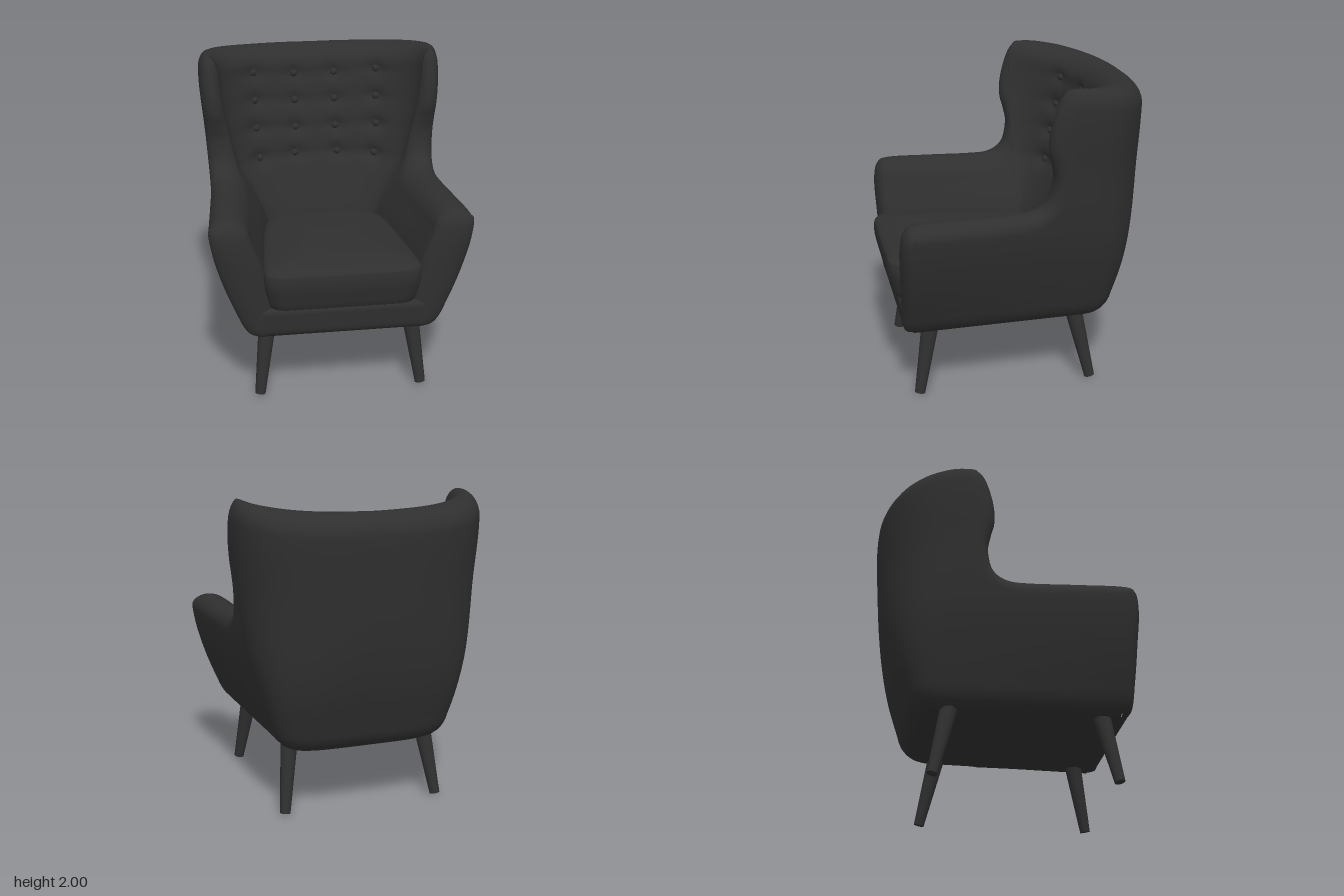
import * as THREE from 'three';

const material = new THREE.MeshStandardMaterial({ color: 0x2f2f2f, roughness: 0.8 });
const { lerp, clamp, smoothstep } = THREE.MathUtils;

// Smooth lookup through rows of [key, value, value...]
function table(rows) {
  const keys = rows.map((r) => r[0]);
  const f = new THREE.CubicInterpolant(keys, rows.flatMap((r) => r.slice(1)), rows[0].length - 1);
  return (k) => Array.from(f.evaluate(clamp(k, keys[0], keys[keys.length - 1] - 1e-6)));
}

// Height -> half width at the front, half width at the back, rear z
const outerAt = table([
  [0.43, 0.53, 0.485, -0.54], [0.45, 0.568, 0.52, -0.575], [0.5, 0.612, 0.562, -0.62],
  [0.6, 0.66, 0.60, -0.655], [0.8, 0.74, 0.66, -0.72], [1.0, 0.797, 0.71, -0.765],
  [1.2, 0.825, 0.74, -0.795], [1.5, 0.80, 0.768, -0.82], [1.8, 0.79, 0.795, -0.835],
  [2.0, 0.79, 0.795, -0.835],
]);
const innerAt = table([
  [0.6, 0.44, 0.33, -0.20], [0.9, 0.50, 0.39, -0.30], [1.1, 0.57, 0.48, -0.375],
  [1.23, 0.60, 0.55, -0.42], [1.41, 0.62, 0.60, -0.46], [1.77, 0.64, 0.665, -0.54],
  [2.0, 0.65, 0.685, -0.56],
]);

// Rim from the arm's front foot, over arm and wing, to the middle of the back:
// [step, position along the wall, height, edge rounding, position of the foot below]
const rimAt = table([
  [0.70, 0.43, 0.03, 0.69], [0.755, 0.465, 0.04, 0.67], [0.77, 0.62, 0.05, 0.64],
  [0.78, 0.85, 0.06, 0.60], [0.785, 1.05, 0.06, 0.54], [0.76, 1.17, 0.06, 0.48],
  [0.68, 1.215, 0.09, 0.40], [0.4, 1.22, 0.10, 0.25], [0.1, 1.22, 0.10, 0.08],
  [-0.04, 1.235, 0.09, -0.06], [-0.13, 1.30, 0.07, -0.17], [-0.165, 1.43, 0.06, -0.23],
  [-0.15, 1.53, 0.07, -0.27], [-0.125, 1.63, 0.09, -0.31], [-0.135, 1.76, 0.10, -0.34],
  [-0.19, 1.92, 0.10, -0.38], [-0.26, 1.985, 0.11, -0.42], [-0.36, 2.0, 0.12, -0.47],
  [-0.6, 1.985, 0.13, -0.65], [-0.95, 1.96, 0.14, -0.95], [-1.3, 1.95, 0.14, -1.3],
].map((r, i) => [i, ...r]));
const RIM_STEPS = 20;

const buttonSpots = [
  [0.13, 1.77], [0.41, 1.80], [0.13, 1.59], [0.405, 1.615],
  [0.13, 1.41], [0.40, 1.43], [0.135, 1.235], [0.38, 1.23],
];

// Plan point of one wall: straight side up to w = -0.3, then a rounded quarter to the rear
function wallPoint([xFront, xBack, zRear], w, zCorner, e) {
  if (w > -0.3) {
    const t = (0.77 - w) / 1.07;
    return [lerp(xFront, xBack, t), w + (zCorner + 0.3) * Math.pow(Math.max(t, 0), 16)];
  }
  const a = ((-0.3 - w) * Math.PI) / 2;
  return [xBack * Math.pow(Math.max(Math.cos(a), 0), e), zCorner + (zRear - zCorner) * Math.pow(Math.sin(a), e)];
}

// Point in the upholstered wall; d runs from 0 (outside) to 1 (inside, tufted)
function bodyPoint(w, y, d) {
  const o = wallPoint(outerAt(y), w, -0.3, lerp(0.45, 0.8, smoothstep(y, 0.43, 1.5)));
  const p = wallPoint(innerAt(y), w, -0.18, 1);
  let dent = 0;
  if (w < -0.3) {
    for (const [bx, by] of buttonSpots) {
      const dx = p[0] - bx, dy = y - by;
      dent += 0.07 * Math.exp(-(dx * dx + dy * dy) / 0.0025);
      dent += 0.03 * Math.exp(-(dx * dx) / 0.025 - (dy * dy) / 0.0012);
    }
  }
  const k = d * (1 - dent * d);
  return [lerp(o[0], p[0], k), y, lerp(o[1], p[1], k)];
}

// One section: underside, outer wall, rounded rim, inner wall, seat floor
function section(u) {
  const [w, y, r, foot] = rimAt(u);
  const a = rimAt(Math.max(u - 0.02, 0)), b = rimAt(Math.min(u + 0.02, RIM_STEPS));
  const len = Math.hypot(b[0] - a[0], b[1] - a[1]);
  const nw = -(b[1] - a[1]) / len, ny = (b[0] - a[0]) / len;
  const inW = w + nw * r, inY = Math.max(y + ny * r, 0.43);
  const pts = [];
  const base = bodyPoint(foot, 0.43, 0);
  for (const s of [0, 0.5, 0.95]) pts.push([base[0] * s, 0.43, base[2]]);
  for (let j = 0; j < 28; j++) {
    const t = Math.pow(j / 28, 1.3);
    pts.push(bodyPoint(lerp(foot, inW, t), lerp(0.43, inY, t), 0));
  }
  for (let j = 0; j <= 14; j++) {
    const t = (j / 14) * Math.PI, k = r * (1 - Math.sin(t));
    pts.push(bodyPoint(w + nw * k, Math.max(y + ny * k, 0.43), (1 - Math.cos(t)) / 2));
  }
  const floorY = Math.min(0.6, inY);
  for (let j = 1; j <= 48; j++) pts.push(bodyPoint(lerp(inW, foot, j / 48), lerp(inY, floorY, j / 48), 1));
  const end = pts[pts.length - 1];
  pts.push([0, floorY, end[2]]);
  return pts;
}

// Skin a list of equally long rows of points
function skin(rows, closed) {
  const n = rows[0].length, index = [];
  const count = closed ? rows.length : rows.length - 1;
  for (let i = 0; i < count; i++) {
    const i2 = (i + 1) % rows.length;
    for (let j = 0; j < n - 1; j++) {
      const a = i * n + j, b = i2 * n + j;
      index.push(a, b, a + 1, b, b + 1, a + 1);
    }
  }
  const g = new THREE.BufferGeometry();
  g.setAttribute('position', new THREE.Float32BufferAttribute(rows.flat(2), 3));
  g.setIndex(index);
  g.computeVertexNormals();
  return g;
}

function shellGeometry() {
  const half = [], N = 160;
  for (let i = 0; i <= N; i++) half.push(section((i / N) * RIM_STEPS));
  const mirrored = half.slice(0, N).reverse().map((row) => row.map(([x, y, z]) => [-x, y, z]));
  return skin([...half, ...mirrored], false);
}

// Front rail: rows of a rounded profile (z, y) run across between the arm fronts
function railGeometry() {
  const path = new THREE.Path();
  path.moveTo(-0.1, 0.432);
  path.lineTo(0.69, 0.432);
  path.bezierCurveTo(0.73, 0.432, 0.757, 0.45, 0.76, 0.5);
  path.lineTo(0.768, 0.59);
  path.bezierCurveTo(0.77, 0.625, 0.75, 0.64, 0.71, 0.64);
  path.lineTo(-0.1, 0.64);
  const profile = path.getPoints(12);
  return skin([0.51, -0.51].map((x) => profile.map((p) => [x, p.y, p.x])).reverse(), false);
}

function cushionGeometry() {
  const side = [
    [0.25, 0.828], [0.42, 0.82], [0.48, 0.77], [0.485, 0.65], [0.46, 0.4],
    [0.425, 0.1], [0.39, -0.08], [0.3, -0.22], [0.15, -0.27],
  ];
  const outline = [[0, 0.83], ...side, [0, -0.28], ...side.slice().reverse().map(([x, z]) => [-x, z])];
  const curve = new THREE.CatmullRomCurve3(outline.map(([x, z]) => new THREE.Vector3(x, 0, z)), true);
  const profile = new THREE.SplineCurve([
    [0, 0.632], [0.5, 0.632], [0.88, 0.634], [0.94, 0.65], [0.975, 0.72], [1, 0.79],
    [1, 0.85], [0.975, 0.882], [0.85, 0.907], [0.5, 0.932], [0, 0.94],
  ].map(([s, y]) => new THREE.Vector2(s, y))).getPoints(44);
  const rows = curve.getPoints(120).slice(0, 120).map((c) =>
    profile.map((p) => [c.x * p.x, p.y, 0.28 + (c.z - 0.28) * p.x]));
  return skin(rows, true);
}

export function createModel() {
  const chair = new THREE.Group();
  chair.name = 'armchair';
  const add = (name, geometry, x = 0, y = 0, z = 0) => {
    const mesh = new THREE.Mesh(geometry, material);
    mesh.name = name;
    mesh.position.set(x, y, z);
    chair.add(mesh);
    return mesh;
  };

  add('shell', shellGeometry());
  add('frontRail', railGeometry());
  add('seatCushion', cushionGeometry());

  // Back buttons sit in the tufts
  const button = new THREE.SphereGeometry(0.026, 16, 12);
  for (const [x, y] of buttonSpots) {
    const angle = Math.acos(x / innerAt(y)[1]);
    const p = bodyPoint(-0.3 - (angle * 2) / Math.PI, y, 1);
    for (const s of [1, -1]) add('button', button, s * p[0], y, p[2]);
  }

  // Tapered legs splay outwards
  const up = new THREE.Vector3(0, 1, 0);
  for (const s of [1, -1]) {
    for (const [name, topZ, footZ] of [['frontLeg', 0.58, 0.664], ['backLeg', -0.365, -0.463]]) {
      const top = new THREE.Vector3(s * 0.46, 0.45, topZ), foot = new THREE.Vector3(s * 0.52, 0.006, footZ);
      const dir = top.clone().sub(foot);
      const leg = add(name, new THREE.CylinderGeometry(0.055, 0.033, dir.length(), 24));
      leg.position.copy(top).add(foot).multiplyScalar(0.5);
      leg.quaternion.setFromUnitVectors(up, dir.normalize());
    }
  }
  return chair;
}
